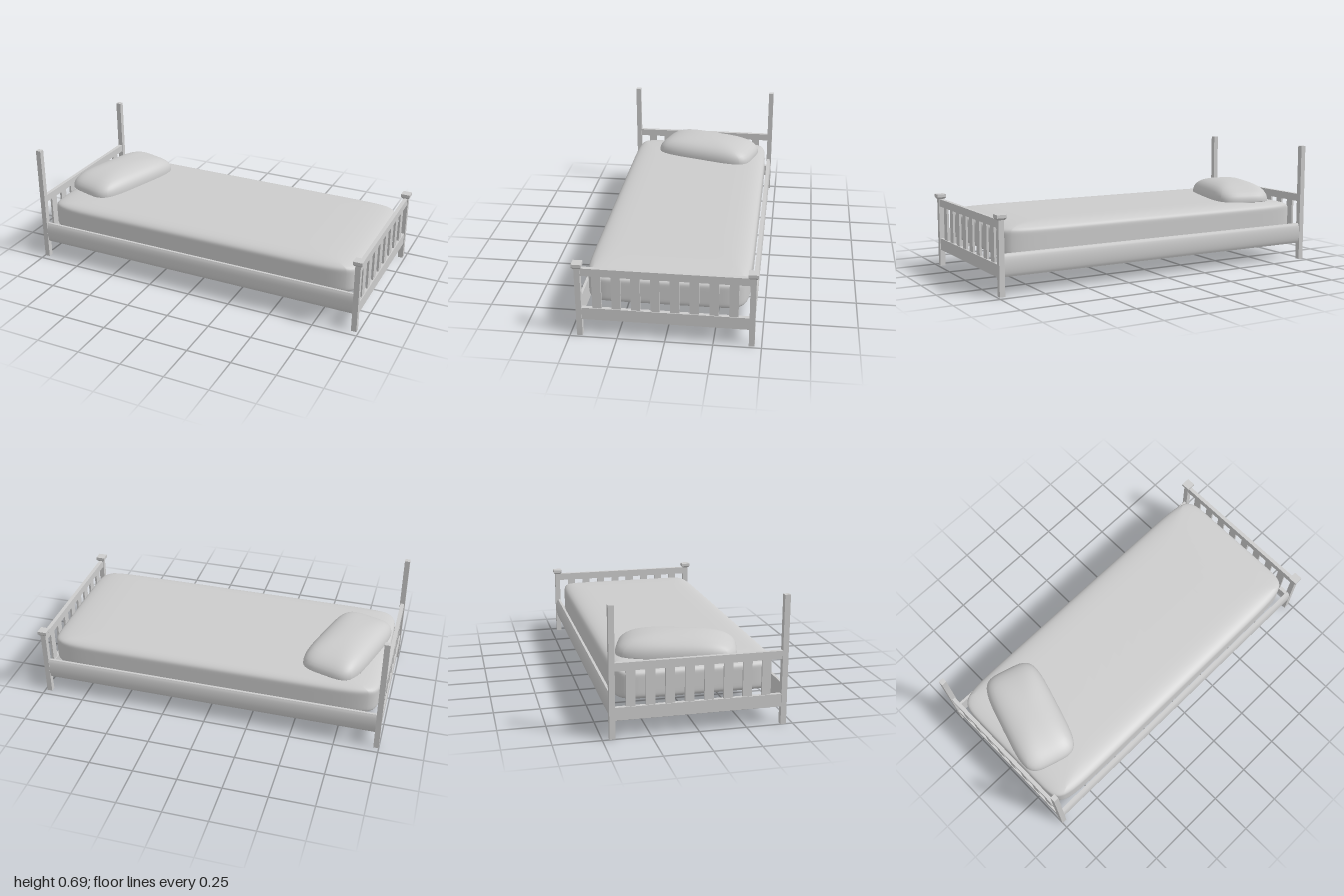
import * as THREE from 'three';
import { mergeVertices, toCreasedNormals } from 'three/addons/utils/BufferGeometryUtils.js';

const gray = new THREE.MeshStandardMaterial({ color: 0xcccccc });
gray.name = 'plain gray';

function add(parent, name, geometry, x, y, z) {
  const mesh = new THREE.Mesh(geometry, gray);
  mesh.name = name;
  mesh.position.set(x, y, z);
  parent.add(mesh);
  return mesh;
}

// Box given by its bottom and top heights
function bar(parent, name, w, d, y0, y1, x, z) {
  return add(parent, name, new THREE.BoxGeometry(w, y1 - y0, d), x, (y0 + y1) / 2, z);
}

// Soft block: a cube rounded by power p in plan and power q in section
function softBlock(hx, hy, hz, p, q, n, shape) {
  const g = new THREE.BoxGeometry(2, 2, 2, n, n, n);
  g.deleteAttribute('normal');
  g.deleteAttribute('uv');
  const pos = g.attributes.position;
  for (let i = 0; i < pos.count; i++) {
    // Crowd the vertices toward the edges
    const [u, v, w] = [pos.getX(i), pos.getY(i), pos.getZ(i)].map((t) => Math.sin(t * Math.PI / 2));
    const plan = Math.pow(Math.abs(u) ** p + Math.abs(w) ** p, 1 / p);
    const r = Math.pow(plan ** q + Math.abs(v) ** q, 1 / q);
    pos.setXYZ(i, hx * u / r, hy * shape(u / r, v / r, w / r), hz * w / r);
  }
  const merged = mergeVertices(g, 1e-5);
  merged.computeVertexNormals();
  return merged;
}

// Slatted end panel between two posts
function endPanel(name, x) {
  const panel = new THREE.Group();
  panel.name = name;
  bar(panel, 'topRail', 0.022, 0.87, 0.354, 0.397, x, 0);
  bar(panel, 'bottomRail', 0.022, 0.87, 0.097, 0.165, x, 0);
  for (let i = 0; i < 8; i++) {
    bar(panel, 'slat', 0.012, 0.048, 0.16, 0.358, x, (i - 3.5) * 0.101);
  }
  return panel;
}

// Side rail with a gently bowed outer face
function sideRailGeometry(length) {
  const s = new THREE.Shape();
  s.moveTo(0, 0);
  s.lineTo(0.014, 0);
  s.bezierCurveTo(0.03, 0.02, 0.03, 0.1, 0.014, 0.12);
  s.lineTo(0, 0.12);
  s.closePath();
  const g = new THREE.ExtrudeGeometry(s, { depth: length, bevelEnabled: false, curveSegments: 10 });
  g.translate(0, 0, -length / 2);
  g.rotateY(-Math.PI / 2);
  return toCreasedNormals(g, 0.6);
}

export function createModel() {
  const bed = new THREE.Group();
  bed.name = 'bed';
  const headX = -0.985, footX = 0.973;

  const head = endPanel('headboard', headX);
  const foot = endPanel('footboard', footX);
  bed.add(head, foot);

  // Posts, with flared caps at the foot
  for (const side of [-1, 1]) {
    const z = side * 0.449;
    bar(head, 'headPost', 0.03, 0.03, 0, 0.69, headX, z);
    bar(foot, 'footPost', 0.03, 0.03, 0, 0.4, footX, z);
    bar(foot, 'postCap', 0.052, 0.052, 0.408, 0.425, footX, z);
    const flare = new THREE.CylinderGeometry(0.026 * Math.SQRT2, 0.019 * Math.SQRT2, 0.01, 4);
    flare.rotateY(Math.PI / 4);
    add(foot, 'capFlare', toCreasedNormals(flare, 0.3), footX, 0.403, z);
  }

  // Side rails
  const rail = sideRailGeometry(1.935);
  for (const side of [-1, 1]) {
    const mesh = add(bed, 'sideRail', rail, -0.0075, 0.1, side * 0.437);
    if (side < 0) mesh.rotation.y = Math.PI;
  }

  // Mattress, its top dropping slightly at the rim
  const mattress = softBlock(0.957, 0.096, 0.43, 12, 10, 28, (u, v, w) =>
    v > 0 ? v * (1 - 0.2 * Math.max(Math.abs(u) ** 10, Math.abs(w) ** 10)) : v);
  add(bed, 'mattress', mattress, -0.007, 0.266, 0);

  // Pillow, domed above and nearly flat below, lying askew
  const pillow = softBlock(0.172, 0.105, 0.315, 4.5, 2.4, 18, (u, v) => (v > 0 ? v : v * 0.12));
  add(bed, 'pillow', pillow, -0.737, 0.361, -0.057).rotation.y = -0.29;

  return bed;
}
